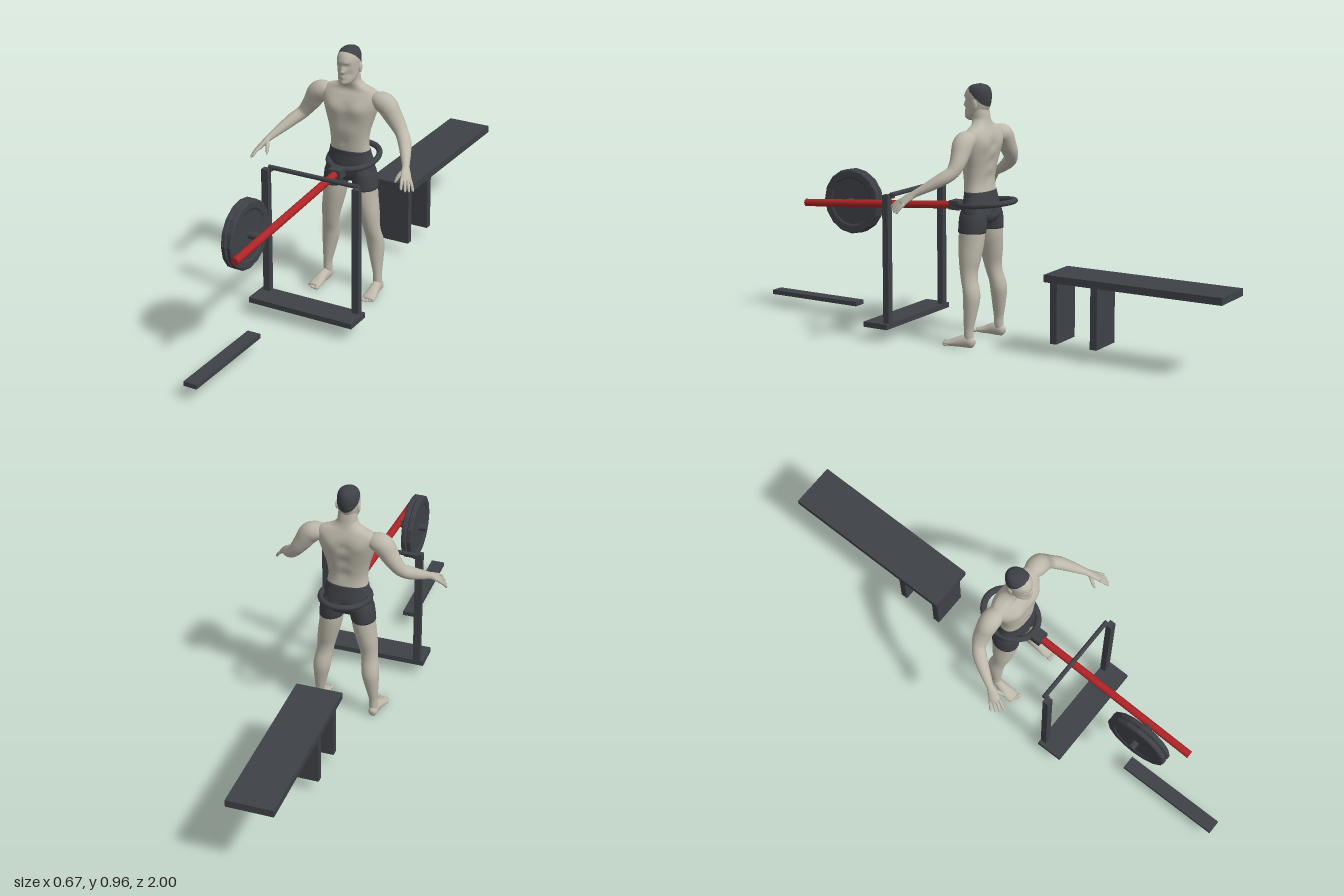
import * as THREE from 'three';

const mat = (name, color) => Object.assign(new THREE.MeshStandardMaterial({ color }), { name });
const X = new THREE.Vector3(1, 0, 0), Y = new THREE.Vector3(0, 1, 0), Z = new THREE.Vector3(0, 0, 1);

// Smooth closed skin through rows of [x, y, z, halfWidth, halfDepth].
// Without ref the sections stay level (rows run upward); with ref they follow the path.
function loft(rows, { ref = null, seg = 24, sub = 5, power = 2, bumps = [] } = {}) {
  const path = new THREE.CatmullRomCurve3(rows.map(r => new THREE.Vector3(r[0], r[1], r[2])), false, 'catmullrom');
  const size = new THREE.CatmullRomCurve3(rows.map(r => new THREE.Vector3(r[3], r[4], 0)), false, 'catmullrom');
  const n = (rows.length - 1) * sub, pos = [], idx = [];
  const soft = v => Math.sign(v) * Math.abs(v) ** (2 / power);
  const both = bumps.flatMap(b => b[0] ? [b, [-b[0], ...b.slice(1)]] : [b]);
  for (let i = 0; i <= n; i++) {
    const c = path.getPoint(i / n), s = size.getPoint(i / n);
    let u = X, v = Z;
    if (ref) {
      const t = path.getTangent(i / n);
      v = ref.clone().addScaledVector(t, -t.dot(ref)).normalize();
      u = t.clone().cross(v);
    }
    for (let j = 0; j < seg; j++) {
      const a = j / seg * Math.PI * 2;
      const p = c.clone().addScaledVector(u, s.x * soft(Math.cos(a))).addScaledVector(v, s.y * soft(Math.sin(a)));
      let dz = 0;
      for (const [x, y, z, r, d] of both)
        dz += d * Math.exp(-((p.x - x) ** 2 + (p.y - y) ** 2 + (p.z - z) ** 2) / (r * r));
      pos.push(p.x, p.y, p.z + dz);
      const k = i * seg + j, m = i * seg + (j + 1) % seg;
      if (i < n) idx.push(k, k + seg, m, m, k + seg, m + seg);
    }
  }
  // end caps
  for (const [ring, flip] of [[0, false], [n, true]]) {
    const c = path.getPoint(ring / n), k = pos.length / 3;
    pos.push(c.x, c.y, c.z);
    for (let j = 0; j < seg; j++) {
      const a = ring * seg + j, b = ring * seg + (j + 1) % seg;
      idx.push(k, ...(flip ? [b, a] : [a, b]));
    }
  }
  const g = new THREE.BufferGeometry();
  g.setAttribute('position', new THREE.Float32BufferAttribute(pos, 3));
  g.setIndex(idx);
  g.computeVertexNormals();
  return g;
}

export function createModel() {
  const root = new THREE.Group();
  const skin = mat('skin', 0xbdb8ab), dark = mat('darkGrey', 0x3e4146), red = mat('red', 0xae2427);
  const figure = new THREE.Group();
  figure.name = 'figure';
  root.add(figure);

  const add = (name, geo, m, parent = root) => {
    const mesh = new THREE.Mesh(geo, m);
    mesh.name = name;
    parent.add(mesh);
    return mesh;
  };
  // box from its lower and upper limits
  const box = (name, x0, x1, y0, y1, z0, z1) =>
    add(name, new THREE.BoxGeometry(x1 - x0, y1 - y0, z1 - z0), dark)
      .position.set((x0 + x1) / 2, (y0 + y1) / 2, (z0 + z1) / 2);
  const rod = (name, a, b, r, m) => {
    const p = new THREE.Vector3(...a), d = new THREE.Vector3(...b).sub(p);
    const mesh = add(name, new THREE.CylinderGeometry(r, r, d.length(), 16), m);
    mesh.position.copy(p).addScaledVector(d, 0.5);
    mesh.quaternion.setFromUnitVectors(Y, d.normalize());
  };
  const ball = (name, x, y, z, a, b, c, m) =>
    add(name, new THREE.SphereGeometry(1, 16, 12).scale(a, b, c), m, figure).position.set(x, y, z);

  // bench, floor strip and rack
  box('benchTop', -0.087, 0.087, 0.278, 0.305, -1, -0.31);
  box('benchFrontLeg', -0.068, 0.068, 0.05, 0.28, -0.353, -0.326);
  box('benchRearLeg', -0.068, 0.068, 0.05, 0.28, -0.515, -0.488);
  box('floorStrip', -0.086, -0.034, 0.05, 0.067, 0.595, 1);
  box('rackBase', -0.213, 0.213, 0.05, 0.07, 0.282, 0.385);
  for (const s of [-1, 1]) {
    box('rackUpright', s * 0.1845 - 0.0135, s * 0.1845 + 0.0135, 0.07, 0.552, 0.283, 0.307);
    box('rackHook', s * 0.175 - 0.008, s * 0.175 + 0.008, 0.54, 0.552, 0.27, 0.29);
  }
  rod('rackCrossbar', [-0.183, 0.553, 0.277], [0.183, 0.553, 0.277], 0.0085, dark);

  // pole, waist ring and weights
  rod('pole', [0, 0.446, 0.8], [0, 0.503, 0.115], 0.0145, red);
  box('poleClamp', -0.025, 0.025, 0.488, 0.521, 0.085, 0.13);
  const ring = add('waistRing', new THREE.TorusGeometry(0.089, 0.0105, 12, 48).scale(1, 1.2, 1).rotateX(Math.PI / 2), dark);
  ring.position.set(0, 0.524, -0.02);
  ring.rotation.x = 0.12;
  rod('weightAxle', [-0.115, 0.459, 0.622], [0, 0.459, 0.622], 0.0135, dark);
  const half = [[0, 0.0065], [0.09, 0.0065], [0.097, 0.0105], [0.12, 0.0105], [0.126, 0.0065]];
  const profile = [...half.map(([r, h]) => [r, -h]), ...half.reverse()].map(p => new THREE.Vector2(...p));
  const disc = new THREE.LatheGeometry(profile, 16).toNonIndexed().rotateZ(Math.PI / 2);
  disc.computeVertexNormals();
  for (const x of [-0.08, -0.058]) add('weightPlate', disc, dark).position.set(x, 0.459, 0.622);

  // torso and neck
  add('torso', loft([
    [0, 0.55, 0.006, 0.079, 0.046], [0, 0.6, 0.011, 0.074, 0.044], [0, 0.65, 0.01, 0.081, 0.048],
    [0, 0.7, 0.006, 0.096, 0.053], [0, 0.74, 0.003, 0.109, 0.053], [0, 0.775, -0.003, 0.117, 0.044],
    [0, 0.797, -0.006, 0.098, 0.034], [0, 0.812, -0.003, 0.058, 0.031], [0, 0.83, 0.002, 0.038, 0.031],
    [0, 0.85, 0.005, 0.035, 0.031], [0, 0.88, 0.01, 0.033, 0.031],
  ], {
    seg: 48, power: 2.3, bumps: [
      [0.05, 0.735, 0.05, 0.035, 0.009], [0, 0.745, 0.055, 0.013, -0.004], [0, 0.6, 0.055, 0.008, -0.004],
      [0.022, 0.65, 0.055, 0.025, 0.003], [0.055, 0.75, -0.045, 0.032, -0.007], [0, 0.74, -0.05, 0.016, 0.006],
      [0, 0.68, -0.045, 0.02, 0.006], [0, 0.62, -0.035, 0.02, 0.005],
    ],
  }), skin, figure);

  // head, with the hair as the faces above a sloping line
  const head = loft([
    [0, 0.825, 0.046, 0.01, 0.012], [0, 0.835, 0.039, 0.025, 0.028], [0, 0.85, 0.028, 0.034, 0.039],
    [0, 0.87, 0.02, 0.038, 0.046], [0, 0.895, 0.017, 0.04, 0.051], [0, 0.92, 0.016, 0.0405, 0.052],
    [0, 0.94, 0.013, 0.036, 0.045], [0, 0.953, 0.01, 0.025, 0.031], [0, 0.96, 0.008, 0.003, 0.004],
  ], {
    seg: 64, sub: 8, bumps: [
      [0, 0.879, 0.067, 0.0075, 0.011], [0, 0.891, 0.067, 0.006, 0.006], [0.007, 0.877, 0.065, 0.005, 0.003],
      [0.016, 0.899, 0.063, 0.009, -0.007], [0.016, 0.897, 0.06, 0.005, 0.004], [0.014, 0.911, 0.065, 0.008, 0.003],
      [0, 0.859, 0.066, 0.009, 0.005], [0, 0.8595, 0.07, 0.003, -0.002], [0, 0.837, 0.064, 0.011, 0.004],
      [0.025, 0.868, 0.055, 0.012, -0.003],
    ],
  });
  const hp = head.attributes.position, ids = [...head.index.array], tris = [[], []];
  for (let i = 0; i < ids.length; i += 3) {
    const t = ids.slice(i, i + 3);
    const mean = k => t.reduce((sum, v) => sum + hp.getComponent(v, k), 0) / 3;
    tris[mean(1) > 0.904 + 0.9 * mean(2) ? 1 : 0].push(...t);
  }
  head.setIndex(tris.flat());
  head.addGroup(0, tris[0].length, 0);
  head.addGroup(tris[0].length, tris[1].length, 1);
  add('headAndHair', head, [skin, dark], figure);

  // shorts
  add('shortsHips', loft([
    [0, 0.445, 0.004, 0.03, 0.03], [0, 0.46, 0.004, 0.07, 0.046], [0, 0.485, 0.004, 0.095, 0.052],
    [0, 0.52, 0.005, 0.092, 0.053], [0, 0.55, 0.006, 0.083, 0.049], [0, 0.57, 0.008, 0.079, 0.047],
  ], { seg: 40, power: 2.2, bumps: [[0.042, 0.48, -0.045, 0.032, -0.009], [0, 0.485, 0.055, 0.025, 0.007], [0, 0.49, -0.05, 0.011, 0.007]] }), dark, figure);

  for (const s of [-1, 1]) {
    const side = rows => rows.map(([x, ...r]) => [x * s, ...r]);
    ball('ear', s * 0.041, 0.885, 0.008, 0.005, 0.019, 0.011, skin);
    add('shortsLeg', loft(side([
      [0.062, 0.422, 0.005, 0.0455, 0.053], [0.058, 0.45, 0.004, 0.047, 0.054],
      [0.054, 0.48, 0.004, 0.046, 0.053], [0.048, 0.51, 0.004, 0.04, 0.047],
    ])), dark, figure);

    // leg, foot and toes
    add('leg', loft(side([
      [0.108, 0.015, -0.01, 0.014, 0.018], [0.107, 0.045, -0.008, 0.0165, 0.018], [0.106, 0.075, -0.008, 0.0165, 0.019],
      [0.102, 0.12, -0.011, 0.023, 0.025], [0.096, 0.18, -0.014, 0.032, 0.031], [0.093, 0.215, -0.01, 0.033, 0.031],
      [0.088, 0.25, 0, 0.032, 0.031], [0.083, 0.285, 0.005, 0.034, 0.034], [0.076, 0.33, 0.005, 0.039, 0.042],
      [0.065, 0.39, 0.005, 0.043, 0.049], [0.06, 0.44, 0.005, 0.044, 0.05],
    ])), skin, figure);
    add('foot', loft(side([
      [0.108, 0.018, -0.033, 0.007, 0.009], [0.108, 0.02, -0.024, 0.0155, 0.019], [0.109, 0.024, 0.005, 0.018, 0.024],
      [0.112, 0.019, 0.035, 0.021, 0.019], [0.114, 0.012, 0.065, 0.025, 0.012], [0.115, 0.009, 0.088, 0.022, 0.008],
    ]), { ref: Y }), skin, figure);
    for (let i = 0; i < 5; i++) {
      const r = i ? 0.0052 : 0.0075;
      ball('toe', s * (0.096 + i * 0.0098), r + 0.001, 0.094 - i * i * 0.0012, r, r, 0.011, skin);
    }

    // arm and palm
    add('arm', loft(side([
      [0.08, 0.77, -0.005, 0.02, 0.025], [0.115, 0.766, -0.005, 0.035, 0.037], [0.142, 0.752, -0.006, 0.039, 0.038],
      [0.163, 0.72, -0.008, 0.034, 0.034], [0.185, 0.688, -0.008, 0.028, 0.03], [0.206, 0.661, 0, 0.024, 0.025],
      [0.23, 0.64, 0.025, 0.023, 0.025], [0.255, 0.614, 0.065, 0.0185, 0.02], [0.279, 0.588, 0.108, 0.0125, 0.014],
      [0.29, 0.574, 0.128, 0.0105, 0.019], [0.301, 0.558, 0.146, 0.0095, 0.021], [0.306, 0.55, 0.154, 0.006, 0.018],
    ]), { ref: new THREE.Vector3(-0.5 * s, 0.3, 0.65) }), skin, figure);

    // fingers fan out across the palm
    for (let k = -1.5; k <= 1.5; k++) {
      const len = 0.05 - Math.abs(k - 0.3) * 0.005;
      const at = (f, r, drop) => [0.301 - 0.0065 * k * (1 + 0.5 * f) + 0.43 * len * f,
        0.558 + 0.004 * k * (1 + 0.5 * f) - 0.62 * len * f - drop, 0.147 + 0.0085 * k * (1 + 0.5 * f) + 0.64 * len * f, r, r];
      add('finger', loft(side([at(0, 0.0062, 0), at(0.5, 0.0056, -0.001), at(0.9, 0.0045, 0.003), at(1, 0.0015, 0.005)]),
        { ref: Y, seg: 10, sub: 3 }), skin, figure);
    }
    add('thumb', loft(side([
      [0.283, 0.58, 0.122, 0.008, 0.008], [0.273, 0.568, 0.14, 0.0075, 0.0075],
      [0.266, 0.551, 0.154, 0.0058, 0.0058], [0.264, 0.541, 0.162, 0.0015, 0.0015],
    ]), { ref: X, seg: 10, sub: 3 }), skin, figure);
  }
  return root;
}
